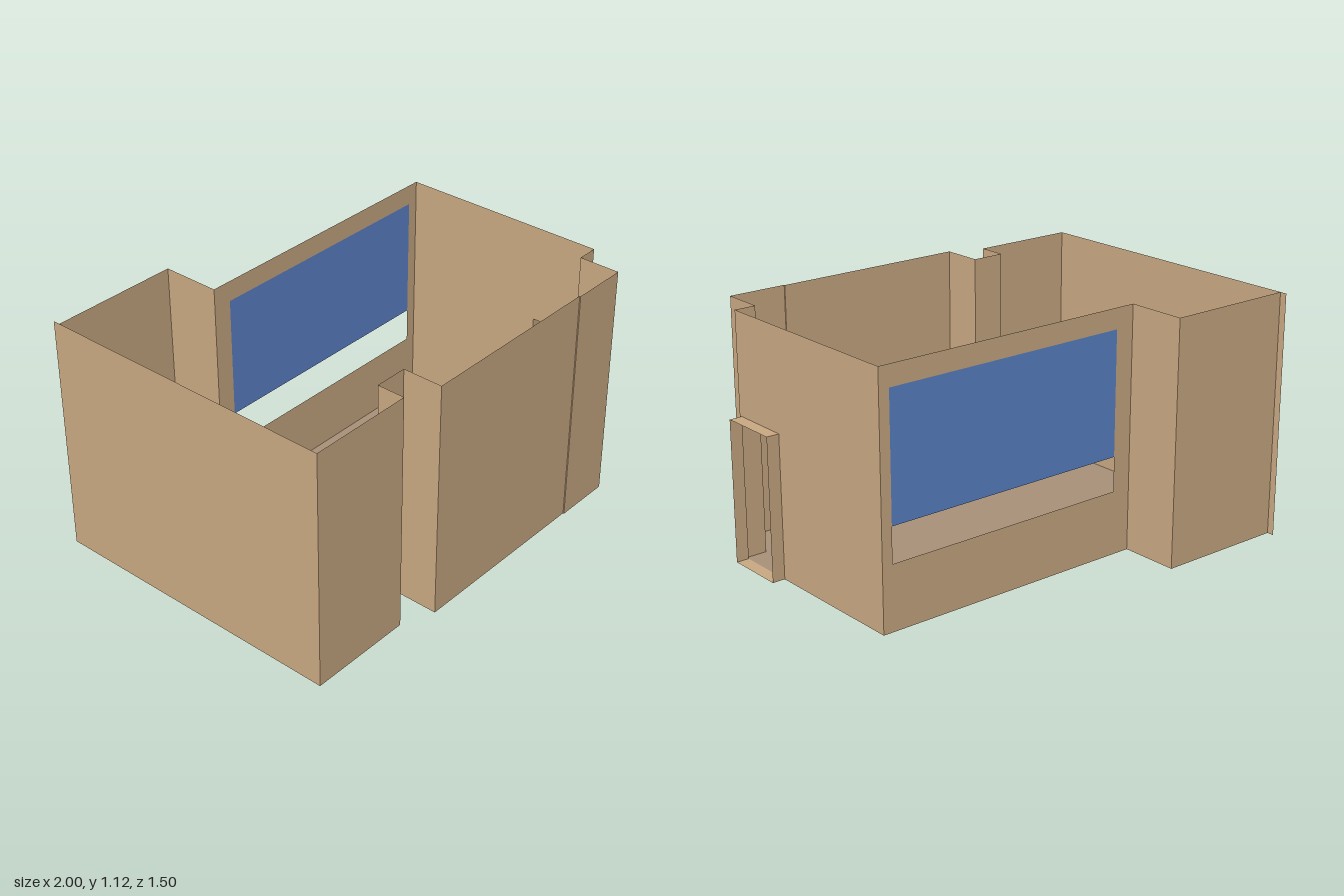
import * as THREE from 'three';

const H = 1.12; // wall height

function polygon(points) {
  return new THREE.Shape(points.map(([x, y]) => new THREE.Vector2(x, y)));
}

function rect(x0, y0, x1, y1) {
  return [[x0, y0], [x1, y0], [x1, y1], [x0, y1]];
}

export function createModel() {
  const room = new THREE.Group();
  room.name = 'room';

  const material = (name, color) => {
    const m = new THREE.MeshStandardMaterial({ color, side: THREE.DoubleSide });
    m.name = name;
    return m;
  };
  const wallPaint = material('wall tan', 0xc8a882);
  const floorPaint = material('floor brown', 0xa89078);
  const glass = material('window blue', 0x5b82c8);

  const add = (name, geometry, mat) => {
    const mesh = new THREE.Mesh(geometry, mat);
    mesh.name = name;
    room.add(mesh);
    return mesh;
  };

  // Upright sheet standing on the plan line a -> b; the shape is drawn in (distance, height)
  const addWall = (name, a, b, shape) => {
    const dx = b[0] - a[0], dz = b[1] - a[1];
    const outline = shape || polygon(rect(0, 0, Math.hypot(dx, dz), H));
    const g = new THREE.ShapeGeometry(outline);
    g.rotateY(-Math.atan2(dz, dx));
    g.translate(a[0], 0, a[1]);
    return add(name, g, wallPaint);
  };

  // Flat sheet from plan points [x, z]
  const addSlab = (name, plan, y, mat) => {
    const g = new THREE.ShapeGeometry(polygon(plan.map(([x, z]) => [x, -z])));
    g.rotateX(-Math.PI / 2);
    g.translate(0, y, 0);
    return add(name, g, mat);
  };

  // Plan of the room, running from the front left corner round to the far side
  const plan = [
    [-1, 0.685], [-0.505, 0.685], [-0.505, 0.555], [-0.35, 0.555],
    [-0.35, 0.743], [0.565, 0.743], [0.565, 0.748], [0.84, 0.748],
    [0.84, 0.555], [0.94, 0.555], [0.94, -0.44], [-0.39, -0.44],
    [-0.39, -0.715], [-1, -0.715],
  ];
  addSlab('floor', plan, 0, floorPaint);

  // Side wall with a doorway
  const door = { z0: 0.54, z1: 0.26, top: 0.655 };
  const sideLength = 0.995;
  const d0 = 0.555 - door.z0, d1 = 0.555 - door.z1;
  const doorWall = polygon([
    [0, 0], [d0, 0], [d0, door.top], [d1, door.top], [d1, 0],
    [sideLength, 0], [sideLength, H], [0, H],
  ]);

  // Back wall with a window opening, measured from x = 0.94 towards -x
  const win = { x0: -0.30, x1: 0.89, sill: 0.295, pane: 0.455, top: 1.025 };
  const windowWall = polygon(rect(0, 0, 1.33, H));
  windowWall.holes.push(polygon(
    rect(0.94 - win.x1, win.sill, 0.94 - win.x0, win.top)));

  const special = { 9: ['doorWall', doorWall], 10: ['windowWall', windowWall] };
  for (let i = 0; i < plan.length - 1; i++) {
    const [name, shape] = special[i] || ['wall' + (i + 1), null];
    addWall(name, plan[i], plan[i + 1], shape);
  }
  // The long side wall runs slightly past the back corner
  addWall('longSideWall', [-1, -0.748], [-1, 0.685]);

  // Glass fills the upper part of the window opening
  const pane = add('windowPane', new THREE.ShapeGeometry(
    polygon(rect(win.x0, win.pane, win.x1, win.top))), glass);
  pane.position.z = -0.44;

  // Short open passage outside the doorway
  const jamb = () => polygon(rect(0, 0, 0.06, door.top));
  addWall('frontJamb', [0.94, door.z0], [1, door.z0], jamb());
  addWall('backJamb', [0.94, door.z1], [1, door.z1], jamb());
  const sill = rect(0.94, door.z1, 1, door.z0);
  addSlab('doorHead', sill, door.top, wallPaint);
  addSlab('doorSill', sill, 0, wallPaint);

  return room;
}
